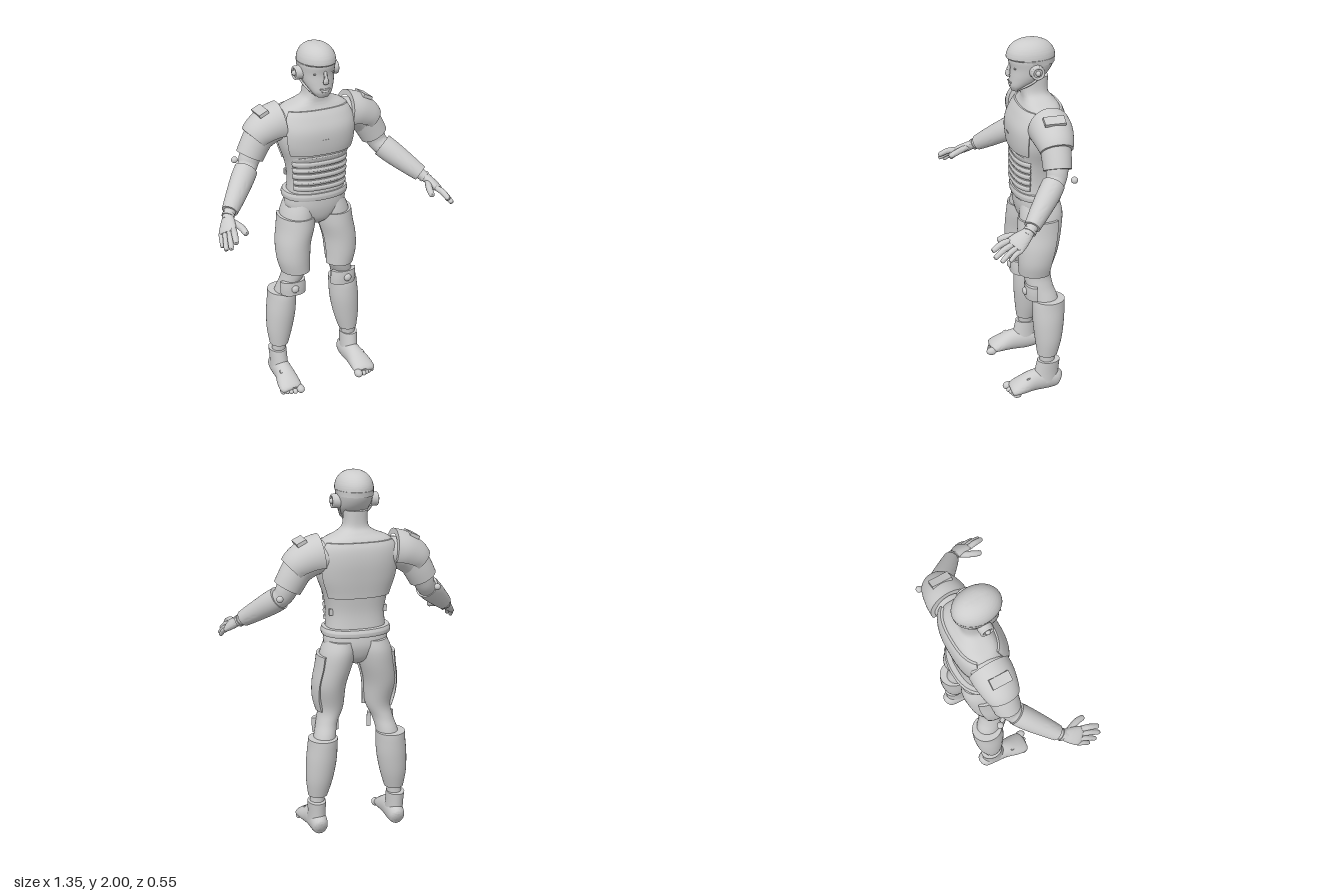
import * as THREE from 'three';
import { toCreasedNormals } from 'three/addons/utils/BufferGeometryUtils.js';

const V3 = THREE.Vector3;
const RAD = Math.PI / 180;
const spow = (v, e) => Math.sign(v) * Math.abs(v) ** e;

// Catmull-Rom interpolation of four numbers
function spline(a, b, c, d, t) {
  const cubic = 3 * (b - c) + d - a;
  const square = 2 * a - 5 * b + 4 * c - d;
  return b + 0.5 * t * (c - a + t * (square + t * cubic));
}

// Refinement of rows of numbers
function smooth(rows, k = 5) {
  const out = [], n = rows.length, at = (i) => rows[Math.max(0, Math.min(n - 1, i))];
  for (let i = 0; i < n - 1; i++) {
    for (let s = 0; s < k; s++) {
      const [a, b, c, d] = [at(i - 1), at(i), at(i + 1), at(i + 2)];
      out.push(b.map((v, j) => spline(a[j], v, c[j], d[j], s / k)));
    }
  }
  out.push(rows[n - 1]);
  return out;
}

// Horizontal sections from rows [y, centre x, half width, front z, back z]
const level = (rows, e = 1) => smooth(rows).map(([y, cx, rx, zf, zb]) => (a, off) => new V3(
  cx + (rx + off) * spow(Math.cos(a), e), y,
  (zf + zb) / 2 + ((zf - zb) / 2 + off) * spow(Math.sin(a), e)));

// Sections across a path from rows [x, y, z, radius along hint, other radius]
function along(rows, hint) {
  const r = smooth(rows), pos = r.map((q) => new V3(q[0], q[1], q[2]));
  return r.map((q, i) => {
    const t = pos[Math.min(i + 1, r.length - 1)].clone().sub(pos[Math.max(i - 1, 0)]).normalize();
    const u = new V3(...hint).addScaledVector(t, -t.dot(new V3(...hint))).normalize();
    const v = u.clone().cross(t);
    return (a, off) => pos[i].clone().addScaledVector(u, (q[3] + off) * Math.cos(a))
      .addScaledVector(v, (q[4] + off) * Math.sin(a));
  });
}

// Skin over sections: a capped solid, or a raised plate when an arc is given
function loft(secs, { arc, off = 0, base = -0.012, n = 32 } = {}) {
  const [a0, a1] = (arc || [0, 360]).map((d) => d * RAD);
  const ang = Array.from({ length: n + 1 }, (_, j) => a0 + (a1 - a0) * j / n);
  const ring = (s, o) => ang.map((a) => s(a, o));
  const first = secs[0], last = secs[secs.length - 1];
  let grid;
  if (arc) {
    const rim = (s) => [s(a0, base), ...ring(s, base), s(a1, base)];
    grid = [rim(first), ...secs.map((s) => [s(a0, base), ...ring(s, off), s(a1, base)]), rim(last)];
  } else {
    const tip = (s) => ang.map(() => s(0, off).add(s(Math.PI, off)).multiplyScalar(0.5));
    grid = [tip(first), ...secs.map((s) => ring(s, off)), tip(last)];
  }
  const w = grid[0].length, idx = [];
  for (let i = 0; i < grid.length - 1; i++) {
    for (let j = 0; j < w - 1; j++) {
      const p = i * w + j;
      idx.push(p, p + w, p + 1, p + 1, p + w, p + w + 1);
    }
  }
  const g = new THREE.BufferGeometry().setFromPoints(grid.flat());
  g.setIndex(idx);
  return toCreasedNormals(g, 0.8);
}

// Mirror across x, keeping the faces outward
function mirrored(geo) {
  const g = (geo.index ? geo.toNonIndexed() : geo.clone()).scale(-1, 1, 1);
  for (const key of ['position', 'normal']) {
    const at = g.attributes[key], b = new V3(), c = new V3();
    for (let i = 0; i < at.count; i += 3) {
      b.fromBufferAttribute(at, i + 1);
      c.fromBufferAttribute(at, i + 2);
      at.setXYZ(i + 1, c.x, c.y, c.z);
      at.setXYZ(i + 2, b.x, b.y, b.z);
    }
  }
  return g;
}

export function createModel() {
  const root = new THREE.Group();
  const grey = new THREE.MeshStandardMaterial({ color: 0xcccccc });
  grey.name = 'plain grey';
  const add = (name, geo) => {
    const m = new THREE.Mesh(geo, grey);
    m.name = name;
    root.add(m);
  };
  const pair = (name, geo) => {
    add(name + 'Left', geo);
    add(name + 'Right', mirrored(geo));
  };
  const ball = (r, x, y, z, sx = 1, sy = 1, sz = 1) =>
    new THREE.SphereGeometry(r, 20, 14).scale(sx, sy, sz).translate(x, y, z);
  const box = (w, h, d, x, y, z, rx = 0, rz = 0) =>
    new THREE.BoxGeometry(w, h, d).rotateX(rx).rotateZ(rz).translate(x, y, z);

  // Torso, neck and pelvis
  const torso = level([[1.13, 0, 0.165, -0.01, -0.235], [1.25, 0, 0.157, -0.012, -0.225],
    [1.35, 0, 0.172, -0.008, -0.235], [1.45, 0, 0.205, 0.01, -0.252], [1.54, 0, 0.215, 0.01, -0.262],
    [1.61, 0, 0.205, -0.018, -0.258], [1.655, 0, 0.175, -0.045, -0.24], [1.685, 0, 0.105, -0.055, -0.215],
    [1.72, 0, 0.066, -0.055, -0.193], [1.8, 0, 0.06, -0.055, -0.195]], 0.8);
  add('torso', loft(torso, { n: 48 }));
  add('pelvis', loft(level([[0.97, 0, 0.03, -0.08, -0.17], [1.01, 0, 0.1, -0.035, -0.215],
    [1.08, 0, 0.17, -0.015, -0.24], [1.15, 0, 0.17, -0.012, -0.235]], 0.9)));
  add('belt', loft(level([[1.14, 0, 0.184, -0.002, -0.262], [1.16, 0, 0.188, 0.002, -0.266],
    [1.18, 0, 0.182, -0.002, -0.258]], 0.88)));

  // Armour on the trunk
  const span = (lo, hi) => torso.filter((s) => s(0, 0).y >= lo && s(0, 0).y <= hi);
  add('chestPlate', loft(span(1.405, 1.65), { arc: [30, 150], off: 0.009 }));
  add('backPlate', loft(span(1.35, 1.65), { arc: [208, 332], off: 0.012 }));
  for (let i = 0; i < 6; i++) {
    const y = 1.2 + i * 0.035, rx = 0.159 + i * 0.002;
    add('abdomenBand' + i, loft(level([[y, 0, rx, -0.01, -0.23], [y + 0.015, 0, rx + 0.003, -0.004, -0.23],
      [y + 0.028, 0, rx, -0.01, -0.23]], 0.8), { arc: [24, 156], off: 0.008 }));
  }
  add('chestMark', box(0.04, 0.006, 0.008, 0, 1.495, 0.02));
  pair('sideTab', box(0.02, 0.035, 0.016, 0.148, 1.27, -0.175));

  // Head, helmet and face
  add('head', loft(level([[1.727, 0, 0.032, 0, -0.05], [1.755, 0, 0.056, 0.012, -0.09],
    [1.8, 0, 0.08, 0.01, -0.17], [1.85, 0, 0.091, 0.008, -0.212], [1.9, 0, 0.096, 0.016, -0.226],
    [1.94, 0, 0.085, 0, -0.21], [1.97, 0, 0.05, -0.05, -0.16]], 0.95)));
  const dome = Array.from({ length: 8 }, (_, i) => {
    const a = i / 7 * 88 * RAD, c = Math.cos(a) ** 0.85;
    return [1.905 + 0.095 * Math.sin(a), 0, 0.1 * c, -0.102 + 0.13 * c, -0.102 - 0.13 * c];
  });
  add('helmetRim', loft(level([[1.875, 0, 0.094, -0.02, -0.228], [1.903, 0, 0.1, 0.026, -0.232]])));
  add('helmetDome', loft(level(dome)));
  add('nose', loft(along([[0, 1.872, 0.006, 0.008, 0.006], [0, 1.835, 0.018, 0.011, 0.011],
    [0, 1.815, 0.02, 0.016, 0.012], [0, 1.805, 0.012, 0.012, 0.006]], [1, 0, 0]), { n: 16 }));
  add('mouth', box(0.056, 0.006, 0.008, 0, 1.775, 0.011));
  add('lowerLip', ball(0.022, 0, 1.762, 0.008, 1, 0.35, 0.4));
  pair('eye', box(0.036, 0.006, 0.008, 0.042, 1.857, -0.004));
  pair('earDisc', new THREE.CylinderGeometry(0.036, 0.038, 0.035, 28).rotateZ(-Math.PI / 2).translate(0.1, 1.845, -0.11));
  pair('earRing', new THREE.TorusGeometry(0.03, 0.007, 10, 28).rotateY(Math.PI / 2).translate(0.118, 1.845, -0.11));
  pair('earKnob', ball(0.014, 0.122, 1.845, -0.11));
  const strap = new THREE.CatmullRomCurve3([new V3(0.09, 1.82, -0.13), new V3(0.077, 1.785, -0.1),
    new V3(0.058, 1.757, -0.06), new V3(0.034, 1.733, -0.025)]);
  pair('jawStrap', new THREE.TubeGeometry(strap, 16, 0.006, 8));

  // Arms
  const front = [0, 0, 1];
  pair('arm', loft(along([[0.16, 1.57, -0.148, 0.09, 0.08], [0.25, 1.55, -0.148, 0.09, 0.085],
    [0.32, 1.49, -0.146, 0.07, 0.074], [0.37, 1.41, -0.14, 0.058, 0.06], [0.4, 1.355, -0.12, 0.052, 0.052],
    [0.48, 1.28, -0.04, 0.05, 0.05], [0.57, 1.205, 0.05, 0.031, 0.031], [0.6, 1.18, 0.085, 0.028, 0.025]], front)));
  pair('shoulderPad', loft(along([[0.195, 1.575, -0.148, 0.112, 0.115], [0.25, 1.565, -0.148, 0.11, 0.107],
    [0.31, 1.535, -0.147, 0.098, 0.092], [0.343, 1.505, -0.146, 0.086, 0.08]], front),
  { arc: [-25, 205], base: -0.03 }));
  pair('shoulderBar', box(0.055, 0.018, 0.11, 0.305, 1.652, -0.143, 0, -0.45));
  pair('upperArmCuff', loft(along([[0.318, 1.51, -0.146, 0.08, 0.082], [0.346, 1.46, -0.145, 0.077, 0.08],
    [0.372, 1.412, -0.142, 0.073, 0.077]], front)));
  pair('forearmCuff', loft(along([[0.408, 1.35, -0.11, 0.06, 0.064], [0.45, 1.312, -0.07, 0.06, 0.063],
    [0.52, 1.25, 0, 0.051, 0.053], [0.568, 1.208, 0.047, 0.042, 0.044]], front)));
  pair('elbowKnob', ball(0.018, 0.43, 1.372, -0.215));
  pair('wristRing', loft(along([[0.58, 1.197, 0.06, 0.035, 0.033], [0.587, 1.19, 0.068, 0.035, 0.033]], front)));

  // Hands
  const spread = [0.63, -0.44, -0.63];
  pair('palm', loft(along([[0.588, 1.19, 0.07, 0.03, 0.024], [0.605, 1.17, 0.108, 0.044, 0.025],
    [0.622, 1.15, 0.145, 0.052, 0.021], [0.63, 1.142, 0.16, 0.046, 0.014]], spread)));
  const finger = (name, a, b, c, r) => pair(name, loft(along([[...a, r, r], [...b, r * 1.05, r * 1.05],
    [...c, r * 0.85, r * 0.85], [...c.map((v, i) => v + (v - b[i]) * 0.13), r * 0.35, r * 0.35]], spread), { n: 14 }));
  [[0.622, 1.132, 0.262], [0.647, 1.104, 0.256], [0.663, 1.088, 0.226], [0.667, 1.086, 0.185]].forEach((tip, i) => {
    const s = -0.04 + i * 0.027;
    const k = [0.625 + spread[0] * s, 1.145 + spread[1] * s, 0.15 + spread[2] * s];
    const mid = k.map((v, j) => (v + tip[j]) / 2 + (j === 1 ? 0.008 : 0));
    finger('finger' + i, k, mid, tip, 0.0155 - i * 0.001);
  });
  finger('thumb', [0.585, 1.18, 0.1], [0.556, 1.165, 0.17], [0.547, 1.148, 0.215], 0.017);

  // Legs
  pair('leg', loft(level([[0.14, 0.225, 0.04, -0.11, -0.195], [0.23, 0.22, 0.042, -0.1, -0.19],
    [0.42, 0.2, 0.07, -0.085, -0.23], [0.56, 0.178, 0.06, -0.075, -0.215], [0.64, 0.158, 0.058, -0.045, -0.19],
    [0.72, 0.135, 0.07, -0.025, -0.186], [0.85, 0.14, 0.086, -0.014, -0.222], [0.97, 0.116, 0.094, -0.015, -0.248],
    [1.05, 0.1, 0.092, -0.02, -0.256], [1.11, 0.088, 0.078, -0.03, -0.245]])));
  pair('thighPlate', loft(level([[0.705, 0.133, 0.072, -0.018, -0.186], [0.78, 0.142, 0.082, -0.012, -0.2],
    [0.87, 0.138, 0.088, -0.012, -0.225], [0.96, 0.118, 0.094, -0.014, -0.245], [1.03, 0.108, 0.096, -0.02, -0.25]]),
  { arc: [-38, 170], off: 0.01 }));
  pair('kneeGuard', loft(level([[0.568, 0.155, 0.076, -0.036, -0.17], [0.61, 0.157, 0.078, -0.034, -0.17],
    [0.65, 0.158, 0.077, -0.036, -0.17]], 0.85), { arc: [12, 168], base: -0.022 }));
  pair('kneeKnob', ball(0.022, 0.163, 0.61, -0.034, 1, 1, 0.7));
  pair('shinGuard', loft(level([[0.225, 0.22, 0.053, -0.092, -0.205], [0.32, 0.212, 0.073, -0.08, -0.23],
    [0.43, 0.201, 0.083, -0.07, -0.245], [0.52, 0.194, 0.081, -0.07, -0.25], [0.562, 0.192, 0.08, -0.076, -0.25]])));
  pair('ankle', loft(level([[0.06, 0.225, 0.05, -0.06, -0.21], [0.12, 0.226, 0.048, -0.075, -0.212],
    [0.19, 0.228, 0.05, -0.09, -0.218]])));

  // Feet
  pair('foot', loft(along([[0.223, 0.055, -0.226, 0.02, 0.025], [0.223, 0.06, -0.208, 0.042, 0.052],
    [0.223, 0.066, -0.15, 0.05, 0.066], [0.226, 0.062, -0.07, 0.053, 0.062], [0.232, 0.046, 0, 0.064, 0.046],
    [0.235, 0.031, 0.05, 0.064, 0.031], [0.235, 0.025, 0.066, 0.05, 0.02]], [1, 0, 0])));
  for (let i = 0; i < 5; i++) {
    const r = i ? 0.0165 - i * 0.0008 : 0.023;
    const x = i ? 0.198 + i * 0.0215 : 0.186;
    pair('toe' + i, ball(r, x, r, 0.07 - i * 0.007, 1, 1, i ? 1.7 : 1.35));
  }
  pair('instepBar', box(0.066, 0.012, 0.02, 0.235, 0.097, -0.028, 0.35));
  return root;
}
